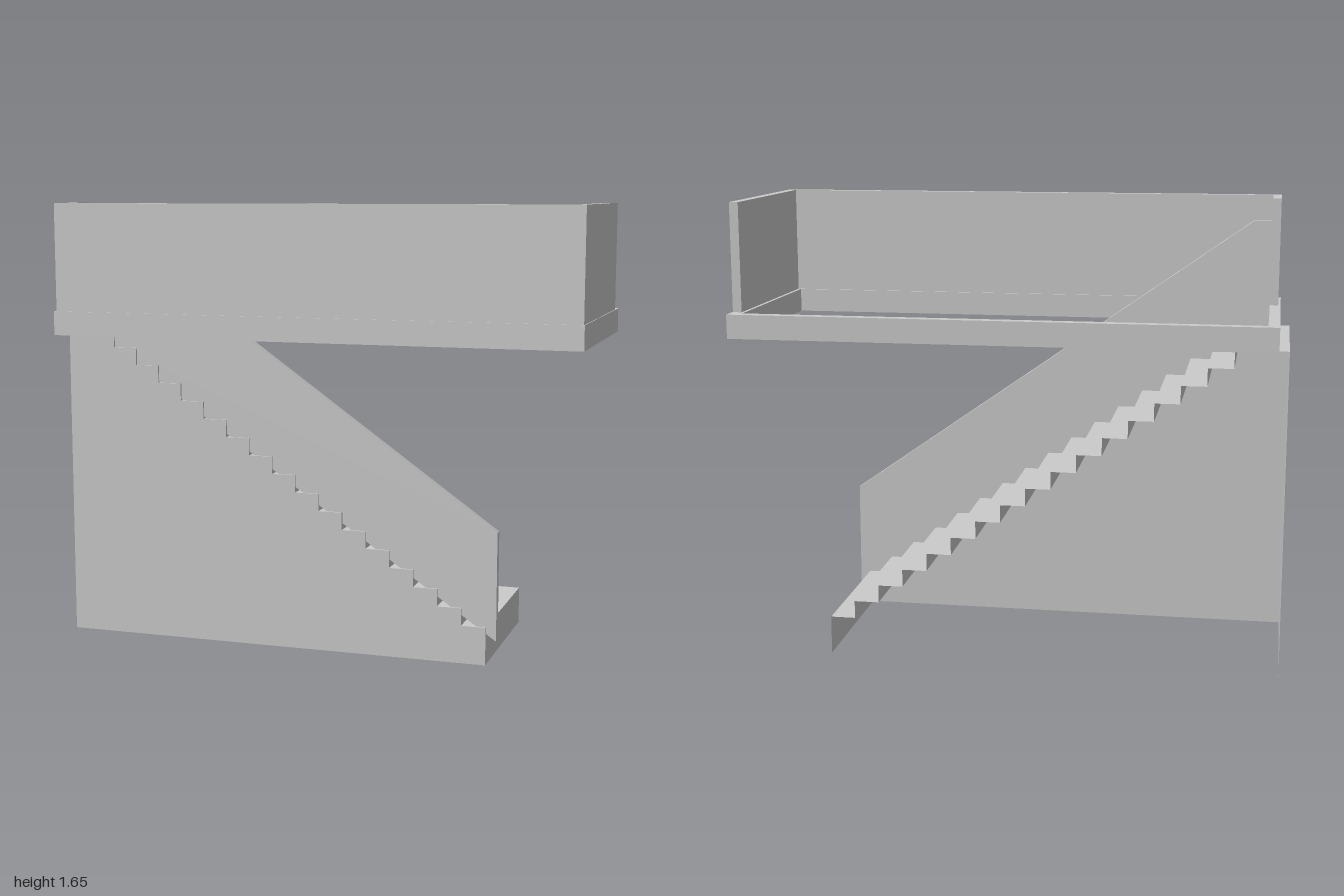
import * as THREE from 'three';

const material = new THREE.MeshStandardMaterial({ color: 0xcccccc, flatShading: true });
const sheetMaterial = new THREE.MeshStandardMaterial({ color: 0xcccccc, flatShading: true, side: THREE.DoubleSide });

// Stair layout
const STEPS = 17, FIRST_X = 0.638, RUN = 0.0908, FIRST_Y = 0.14, RISE = 0.0648;
const BACK_Z = -0.4, FRONT_Z = 0.21, END_X = -1;
const stepX = (i) => (i < STEPS ? FIRST_X - i * RUN : END_X);
const stepY = (i) => FIRST_Y + i * RISE;

function polygon(points) {
  return new THREE.Shape(points.map(([x, y]) => new THREE.Vector2(x, y)));
}

export function createModel() {
  const model = new THREE.Group();

  const add = (name, geometry, parent = model, mat = material) => {
    const mesh = new THREE.Mesh(geometry, mat);
    mesh.name = name;
    parent.add(mesh);
    return mesh;
  };

  // Box given by its limits on each axis
  const block = (name, parent, [x0, x1], [y0, y1], [z0, z1]) => {
    const mesh = add(name, new THREE.BoxGeometry(x1 - x0, y1 - y0, z1 - z0), parent);
    mesh.position.set((x0 + x1) / 2, (y0 + y1) / 2, (z0 + z1) / 2);
  };

  // Folded sheet of risers and treads, open at the back and underneath
  const stairs = new THREE.Group();
  stairs.name = 'stairs';
  model.add(stairs);
  const depth = FRONT_Z - BACK_Z, midZ = (FRONT_Z + BACK_Z) / 2;
  const outline = [[END_X, 0], [FIRST_X, 0]];
  for (let i = 0; i < STEPS; i++) {
    const x = stepX(i), next = stepX(i + 1), y = stepY(i), below = i ? stepY(i - 1) : 0;
    const riser = add('riser', new THREE.PlaneGeometry(depth, y - below).rotateY(Math.PI / 2), stairs, sheetMaterial);
    riser.position.set(x, (y + below) / 2, midZ);
    const tread = add('tread', new THREE.PlaneGeometry(x - next, depth).rotateX(-Math.PI / 2), stairs, sheetMaterial);
    tread.position.set((x + next) / 2, y, midZ);
    outline.push([x, y], [next, y]);
  }

  // Thin walls below the stairs
  add('stairSideWall', new THREE.ShapeGeometry(polygon(outline)), model, sheetMaterial).position.z = FRONT_Z;
  const topY = stepY(STEPS - 1);
  const endWall = add('stairEndWall', new THREE.PlaneGeometry(depth, topY).rotateY(-Math.PI / 2), model, sheetMaterial);
  endWall.position.set(END_X, topY / 2, midZ);

  // Sloping solid balustrade along the stairs
  const balustrade = polygon([
    [0.675, 0.09], [0.675, 0.49], [-0.86, 1.573], [-0.925, 1.573], [-0.925, 1.175], [-0.86, 1.141],
  ]);
  add('stairBalustrade', new THREE.ExtrudeGeometry(balustrade, { depth: 0.03, bevelEnabled: false })).position.z = 0.172;

  // Rectangular edge beam around the stairwell opening
  const rectangle = (x0, x1, z0, z1) => [[x0, -z1], [x1, -z1], [x1, -z0], [x0, -z0]];
  const frame = polygon(rectangle(-0.965, 1, -0.4, 0.398));
  frame.holes.push(polygon(rectangle(-0.925, 0.952, -0.36, 0.353).reverse()));
  const beam = new THREE.ExtrudeGeometry(frame, { depth: 0.088, bevelEnabled: false }).rotateX(-Math.PI / 2);
  add('edgeBeam', beam).position.y = 1.17;

  // Parapet standing on the beam on three sides
  const parapet = new THREE.Group();
  parapet.name = 'parapet';
  model.add(parapet);
  const height = [1.258, 1.655];
  block('parapetFront', parapet, [-0.956, 0.997], height, [0.361, 0.394]);
  block('parapetLeft', parapet, [0.964, 0.997], height, [-0.335, 0.361]);
  block('parapetRight', parapet, [-0.956, -0.925], height, [0.17, 0.361]);

  return model;
}
